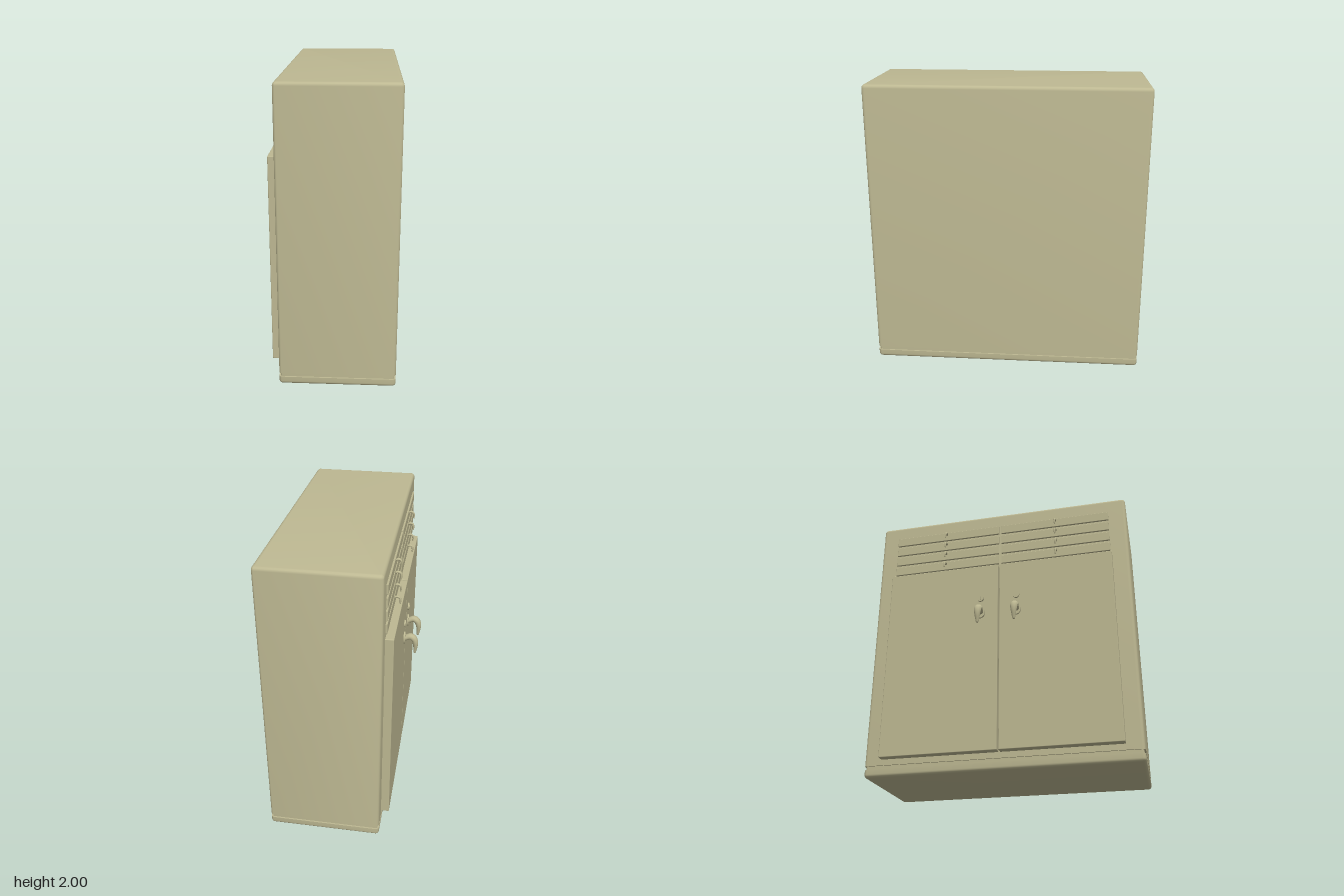
import * as THREE from 'three';
import { toCreasedNormals } from 'three/addons/utils/BufferGeometryUtils.js';
import { RoundedBoxGeometry } from 'three/addons/geometries/RoundedBoxGeometry.js';

const material = new THREE.MeshStandardMaterial({ color: 0xbdb892 });

function add(parent, name, geometry, x = 0, y = 0, z = 0) {
  const mesh = new THREE.Mesh(geometry, material);
  mesh.name = name;
  mesh.position.set(x, y, z);
  parent.add(mesh);
  return mesh;
}

// Rounded-rectangle rings stacked along a profile of [inset, y], capped at both ends
function ringStack(width, depth, radius, profile) {
  const steps = 5, count = 4 * (steps + 1);
  const positions = [], index = [];
  for (const [inset, y] of profile) {
    const r = Math.max(radius - inset, 0.002);
    for (let c = 0; c < 4; c++) {
      const sx = c === 0 || c === 3 ? 1 : -1, sz = c < 2 ? 1 : -1;
      for (let s = 0; s <= steps; s++) {
        const a = (c + s / steps) * Math.PI / 2;
        positions.push(
          sx * (width / 2 - inset - r) + r * Math.cos(a), y,
          sz * (depth / 2 - inset - r) + r * Math.sin(a));
      }
    }
  }
  for (let k = 0; k < profile.length - 1; k++) {
    for (let i = 0; i < count; i++) {
      const a = k * count + i, b = k * count + (i + 1) % count;
      index.push(a, a + count, b, b, a + count, b + count);
    }
  }
  const last = (profile.length - 1) * count;
  for (let i = 1; i < count - 1; i++) {
    index.push(0, i, i + 1, last, last + i + 1, last + i);
  }
  const geometry = new THREE.BufferGeometry();
  geometry.setAttribute('position', new THREE.Float32BufferAttribute(positions, 3));
  geometry.setIndex(index);
  return toCreasedNormals(geometry, 0.6);
}

// Tube in the xy plane whose radius follows a list, with rounded tip
function taperedTube(points, radii, zScale, segments = 24) {
  const curve = new THREE.CatmullRomCurve3(points.map(([x, y]) => new THREE.Vector3(x, y, 0)));
  const sides = 12;
  const geometry = new THREE.TubeGeometry(curve, segments, 1, sides);
  const pos = geometry.attributes.position, v = new THREE.Vector3();
  for (let i = 0; i <= segments; i++) {
    const t = i / segments, f = t * (radii.length - 1);
    const k = Math.min(Math.floor(f), radii.length - 2);
    const r = THREE.MathUtils.lerp(radii[k], radii[k + 1], f - k);
    const centre = curve.getPointAt(t);
    for (let j = 0; j <= sides; j++) {
      const n = i * (sides + 1) + j;
      v.fromBufferAttribute(pos, n).sub(centre).multiplyScalar(r);
      v.z *= zScale;
      v.add(centre);
      pos.setXYZ(n, v.x, v.y, v.z);
    }
  }
  geometry.computeVertexNormals();
  return geometry;
}

// Oval disc lying flat against the door face
function ovalPlate(halfHeight, halfWidth, thickness) {
  const g = new THREE.CylinderGeometry(1, 1, thickness, 24);
  g.rotateZ(Math.PI / 2);
  g.scale(1, halfHeight, halfWidth);
  return g;
}

export function createModel() {
  const model = new THREE.Group();
  model.name = 'cabinet';

  // Case: rounded plinth, shallow groove, then the body with a rounded top
  const R = 0.024, profile = [];
  for (let i = 0; i <= 5; i++) {
    const a = i / 5 * Math.PI / 2;
    profile.push([R * (1 - Math.sin(a)), R * (1 - Math.cos(a))]);
  }
  profile.push([0, 0.055], [0.01, 0.055], [0.01, 0.08], [0, 0.08]);
  for (let i = 0; i <= 5; i++) {
    const a = i / 5 * Math.PI / 2;
    profile.push([R * (1 - Math.cos(a)), 2 - R * (1 - Math.sin(a))]);
  }
  add(model, 'case', ringStack(0.77, 1.885, 0.024, profile), 0.075);

  const leverGeometry = taperedTube(
    [[-0.36, 1.13], [-0.385, 1.142], [-0.415, 1.151], [-0.439, 1.132], [-0.45, 1.09], [-0.447, 1.025]],
    [0.02, 0.021, 0.024, 0.021, 0.015, 0.009], 1.15);
  const pullGeometry = taperedTube(
    [[-0.318, 0.014], [-0.338, 0.019], [-0.353, 0.012], [-0.358, -0.008], [-0.357, -0.026]],
    [0.007, 0.008, 0.007, 0.006, 0.005], 1.2, 14);

  for (const side of [-1, 1]) {
    const half = new THREE.Group();
    half.name = side > 0 ? 'frontHalf' : 'backHalf';
    model.add(half);

    // Door with lock plate and lever handle
    add(half, 'door', new RoundedBoxGeometry(0.065, 1.405, 0.818, 2, 0.005), -0.3325, 0.8225, side * 0.414);
    add(half, 'handleRosette', ovalPlate(0.046, 0.034, 0.014), -0.369, 1.137, side * 0.13);
    add(half, 'leverHandle', leverGeometry, 0, 0, side * 0.13);
    add(half, 'leverTip', new THREE.SphereGeometry(0.009, 12, 8), -0.447, 1.025, side * 0.13);
    add(half, 'lockPlate', ovalPlate(0.027, 0.024, 0.014), -0.369, 1.252, side * 0.13);
    add(half, 'lockCylinder', new THREE.BoxGeometry(0.003, 0.022, 0.006), -0.377, 1.25, side * 0.13);

    // Four shallow drawers, each with a hooked pull
    for (let row = 0; row < 4; row++) {
      const y = 1.854 - row * 0.0875;
      add(half, 'drawer', new RoundedBoxGeometry(0.03, 0.068, 0.805, 2, 0.003), -0.307, y, side * 0.412);
      add(half, 'drawerPull', pullGeometry, 0, y, side * 0.42);
      add(half, 'pullTip', new THREE.SphereGeometry(0.005, 8, 6), -0.357, y - 0.026, side * 0.42);
    }
  }
  return model;
}
